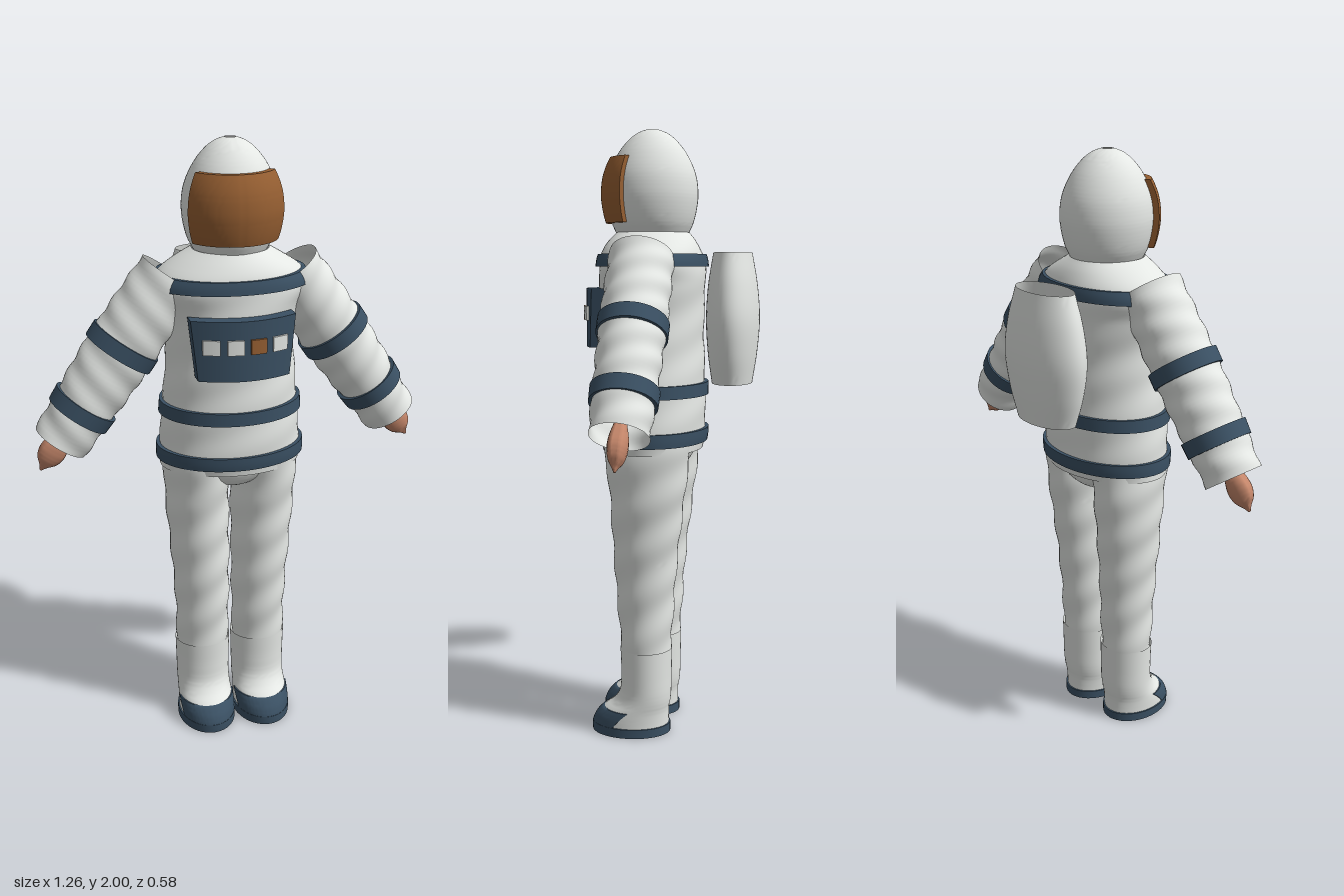
import * as THREE from 'three';
import { toCreasedNormals } from 'three/addons/utils/BufferGeometryUtils.js';

const paint = (name, color) => {
  const m = new THREE.MeshStandardMaterial({ color, side: THREE.DoubleSide });
  m.name = name;
  return m;
};

// Cross-section at height y from rows of [y, cx, cz, rx, rz], smoothly interpolated
function section(rows, y) {
  let i = 0;
  while (i < rows.length - 2 && y > rows[i + 1][0]) i++;
  const a = rows[i], b = rows[i + 1], h = b[0] - a[0];
  const p = rows[Math.max(i - 1, 0)], n = rows[Math.min(i + 2, rows.length - 1)];
  const u = (y - a[0]) / h, u2 = u * u, u3 = u2 * u;
  return [1, 2, 3, 4].map((k) => {
    const ma = ((b[k] - p[k]) / (b[0] - p[0])) * h, mb = ((n[k] - a[k]) / (n[0] - a[0])) * h;
    return (2 * u3 - 3 * u2 + 1) * a[k] + (u3 - 2 * u2 + u) * ma + (3 * u2 - 2 * u3) * b[k] + (u3 - u2) * mb;
  });
}

// Skin of elliptical sections between y0 and y1. With sink, the skin is a raised patch
// whose rims drop back into the body; arc(y) gives the angle range of a partial patch.
function loft(rows, { y0 = rows[0][0], y1 = rows.at(-1)[0], steps = 24, seg = 40, grow = 0, sink = 0, arc = null, ripple = null } = {}) {
  const levels = [];
  for (let i = 0; i <= steps; i++) levels.push([y0 + ((y1 - y0) * i) / steps, grow]);
  if (sink) {
    levels.unshift([y0, grow - sink]);
    levels.push([y1, grow - sink]);
  }
  const pos = [], index = [];
  const cols = arc ? seg + 3 : seg;
  levels.forEach(([y, g]) => {
    const [cx, cz, rx, rz] = section(rows, y);
    const [t0, t1] = arc ? arc(y) : [0, Math.PI * 2];
    for (let j = 0; j < cols; j++) {
      const k = arc ? THREE.MathUtils.clamp(j - 1, 0, seg) : j;
      const t = t0 + ((t1 - t0) * k) / seg;
      const rim = arc && (j === 0 || j === cols - 1);
      const d = (rim ? grow - sink : g) + (ripple ? ripple(y, t) : 0);
      pos.push(cx + (rx + d) * Math.cos(t), y, cz + (rz + d) * Math.sin(t));
    }
  });
  const spans = arc ? cols - 1 : cols;
  for (let i = 0; i < levels.length - 1; i++) {
    for (let j = 0; j < spans; j++) {
      const a = i * cols + j, c = i * cols + ((j + 1) % cols);
      index.push(a, a + cols, c, c, a + cols, c + cols);
    }
  }
  const geo = new THREE.BufferGeometry();
  geo.setAttribute('position', new THREE.Float32BufferAttribute(pos, 3));
  geo.setIndex(index);
  return toCreasedNormals(geo, 0.9);
}

// Box bent around the chest, narrower at the bottom
function bentBox(w, h, d, x, y, z, taper = 0) {
  const geo = new THREE.BoxGeometry(w, h, d, 16, 1, 1);
  const p = geo.attributes.position;
  for (let i = 0; i < p.count; i++) {
    const px = x + p.getX(i) * (1 + taper * (p.getY(i) / h - 0.5));
    p.setXYZ(i, px, y + p.getY(i), z + p.getZ(i) - 1.75 * px * px);
  }
  geo.computeVertexNormals();
  return geo;
}

export function createModel() {
  const white = paint('suit white', 0xe4e7e4);
  const navy = paint('trim navy', 0x3a5063);
  const amber = paint('visor amber', 0x965f32);
  const skin = paint('skin', 0xc4866a);

  const model = new THREE.Group();
  model.name = 'astronaut';
  const add = (name, geo, mat, parent = model) => {
    const mesh = new THREE.Mesh(geo, mat);
    mesh.name = name;
    parent.add(mesh);
    return mesh;
  };
  const group = (name) => {
    const g = new THREE.Group();
    g.name = name;
    model.add(g);
    return g;
  };

  // Helmet with raised visor
  const helmet = [
    [1.665, 0, 0.063, 0.115, 0.118], [1.7, 0, 0.063, 0.133, 0.134], [1.75, 0, 0.063, 0.146, 0.146],
    [1.8, 0, 0.063, 0.15, 0.15], [1.86, 0, 0.063, 0.141, 0.141], [1.92, 0, 0.063, 0.114, 0.114],
    [1.965, 0, 0.063, 0.079, 0.079], [1.99, 0, 0.063, 0.046, 0.046], [2, 0, 0.063, 0.018, 0.018],
  ];
  add('helmet', loft(helmet, { steps: 60, seg: 48 }), white);
  add('visor', loft(helmet, {
    y0: 1.7, y1: 1.91, grow: 0.019, sink: 0.024, arc: () => [0.49, Math.PI - 0.49],
  }), amber);

  // Jacket and its three bands
  const jacket = [
    [0.96, 0, 0.063, 0.232, 0.165], [1.01, 0, 0.063, 0.234, 0.174], [1.16, 0, 0.063, 0.222, 0.174],
    [1.3, 0, 0.063, 0.21, 0.17], [1.4, 0, 0.063, 0.207, 0.17], [1.5, 0, 0.063, 0.225, 0.173],
    [1.56, 0, 0.063, 0.25, 0.173], [1.6, 0, 0.063, 0.228, 0.166], [1.64, 0, 0.063, 0.172, 0.145],
    [1.67, 0, 0.063, 0.12, 0.12],
  ];
  add('jacket', loft(jacket, { steps: 60, seg: 56, ripple: (y, t) => 0.002 * Math.sin(45 * y + 3 * t) }), white);
  [[0.985, 1.03], [1.14, 1.182], [1.56, 1.6]].forEach(([y0, y1], i) =>
    add(['hemBand', 'waistBand', 'chestBand'][i], loft(jacket, { y0, y1, steps: 4, seg: 56, grow: 0.011, sink: 0.016 }), navy));

  // Chest control panel
  add('chestPanel', bentBox(0.33, 0.19, 0.045, 0, 1.395, 0.258, 0.12), navy);
  [-0.108, -0.036, 0.036, 0.108].forEach((x, i) =>
    add('panelButton', bentBox(0.05, 0.046, 0.016, x, 1.41, 0.281), i === 2 ? amber : white));

  // Open barrel-shaped backpack
  add('backpack', loft([
    [1.18, 0, -0.203, 0.118, 0.066], [1.28, 0, -0.204, 0.151, 0.08], [1.39, 0, -0.205, 0.167, 0.087],
    [1.5, 0, -0.204, 0.151, 0.08], [1.605, 0, -0.203, 0.117, 0.063],
  ], { seg: 48 }), white);

  // Hips joining the trouser legs
  add('hips', loft([
    [0.87, 0, 0.063, 0.008, 0.02], [0.9, 0, 0.063, 0.09, 0.1], [0.95, 0, 0.063, 0.19, 0.138], [1.02, 0, 0.063, 0.2, 0.145],
  ]), white);

  const sleeve = [
    [0, 0, 0, 0.091, 0.09], [0.13, 0, 0, 0.098, 0.096], [0.25, 0, 0, 0.106, 0.1],
    [0.37, 0, 0, 0.109, 0.102], [0.5, 0, 0, 0.106, 0.104], [0.64, 0, 0, 0.1, 0.102],
  ];
  const hand = [
    [-0.115, 0, 0, 0.003, 0.003], [-0.1, 0, 0, 0.013, 0.01], [-0.075, 0, 0, 0.036, 0.024],
    [-0.04, 0, 0, 0.045, 0.031], [0, 0, 0, 0.035, 0.029], [0.04, 0, 0, 0.02, 0.02],
  ];

  for (const s of [1, -1]) {
    const side = s > 0 ? 'left' : 'right';

    // Arm, built upward from the wrist and then tilted
    const arm = group(side + 'Arm');
    arm.position.set(0.555 * s, 1.07, 0.063);
    arm.rotation.z = 0.608 * s;
    add('sleeve', loft(sleeve, { steps: 50, ripple: (y, t) => 0.003 * Math.sin(70 * y + 2 * t * s) }), white, arm);
    [0.13, 0.366].forEach((y) =>
      add('sleeveBand', loft(sleeve, { y0: y - 0.025, y1: y + 0.025, steps: 4, grow: 0.009, sink: 0.014 }), navy, arm));
    add('hand', loft(hand, { seg: 20 }), skin, arm).position.x = 0.004 * s;

    // Trouser leg
    const leg = group(side + 'Leg');
    add('trouserLeg', loft([
      [0.27, 0.1 * s, 0.07, 0.089, 0.082], [0.45, 0.1 * s, 0.071, 0.092, 0.095], [0.6, 0.104 * s, 0.07, 0.097, 0.106],
      [0.85, 0.113 * s, 0.062, 0.106, 0.128], [0.95, 0.113 * s, 0.064, 0.108, 0.142], [1.02, 0.112 * s, 0.064, 0.108, 0.144],
    ], { steps: 60, ripple: (y, t) => 0.003 * Math.sin(42 * y + 2 * t) }), white, leg);

    // Boot with open sole rim and toe cap
    const cx = 0.099 * s;
    const boot = [
      [0, cx, 0.122, 0.094, 0.128], [0.03, cx, 0.122, 0.094, 0.128], [0.06, cx, 0.115, 0.094, 0.121],
      [0.085, cx, 0.102, 0.093, 0.109], [0.105, cx, 0.086, 0.092, 0.097], [0.14, cx, 0.073, 0.092, 0.087],
      [0.2, cx, 0.07, 0.093, 0.085], [0.292, cx, 0.07, 0.095, 0.087],
    ];
    add('boot', loft(boot, { steps: 40 }), white, leg);
    add('sole', loft(boot, { y0: 0, y1: 0.03, steps: 2, grow: 0.005, sink: 0.022 }), navy, leg);
    add('toeCap', loft(boot, {
      y0: 0.028, y1: 0.083, steps: 8, grow: 0.004, sink: 0.007,
      arc: (y) => {
        const t = 0.38 - (y - 0.03) * 4.6;
        return [t, Math.PI - t];
      },
    }), navy, leg);
  }
  return model;
}
